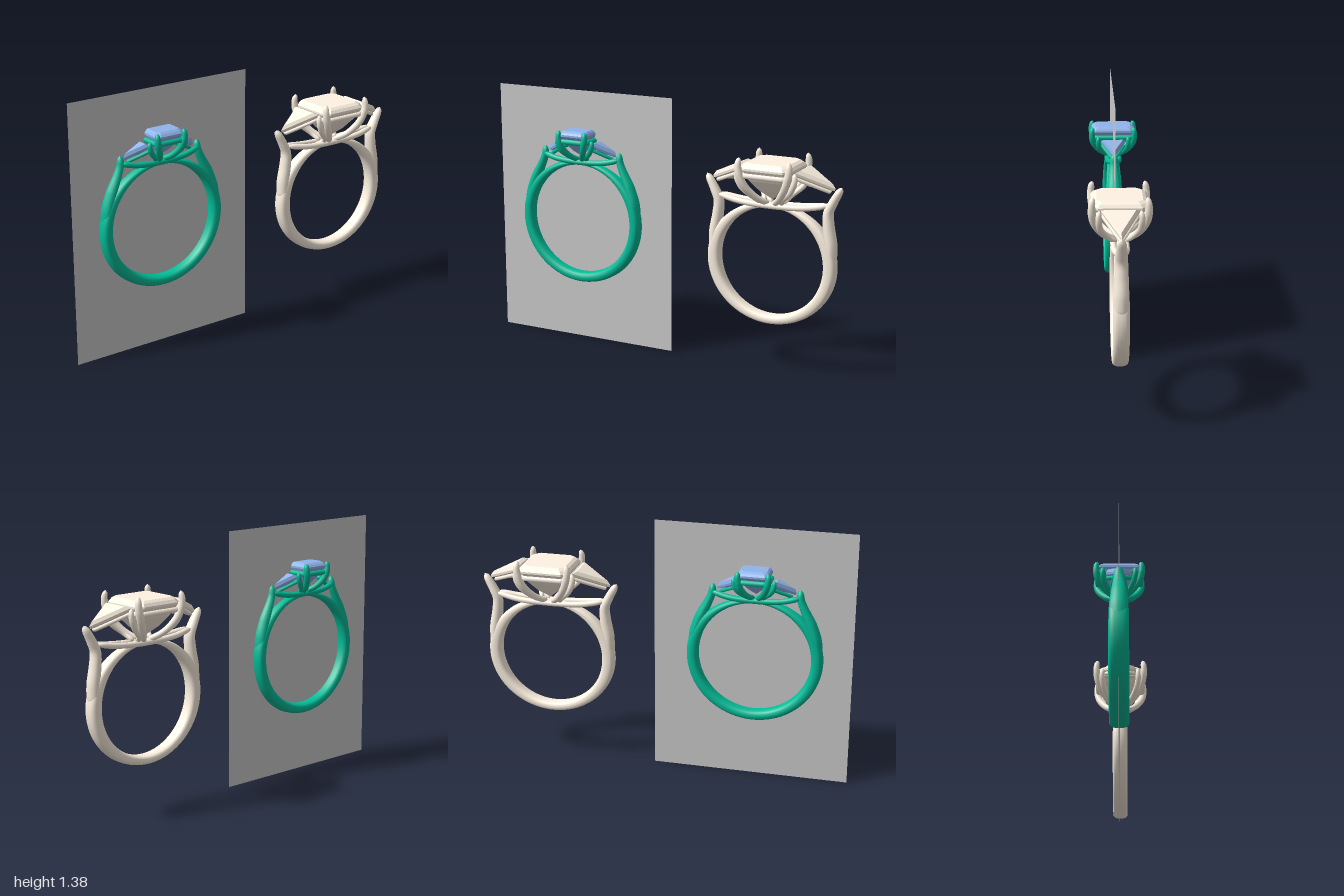
import * as THREE from 'three';

const V = (x, y, z) => new THREE.Vector3(x, y, z);
const lerp = THREE.MathUtils.lerp;

// Skins a list of equal-length cross-section loops.
function skin(loops, closed = false) {
  const n = loops.length, m = loops[0].length, index = [];
  for (let i = 0; i < (closed ? n : n - 1); i++) {
    for (let j = 0; j < m; j++) {
      const k = (j + 1) % m, i2 = (i + 1) % n;
      const a = i * m + j, b = i * m + k, c = i2 * m + j, d = i2 * m + k;
      index.push(a, b, c, b, d, c);
    }
  }
  const geo = new THREE.BufferGeometry().setFromPoints(loops.flat());
  geo.setIndex(index);
  geo.computeVertexNormals();
  return geo;
}

// Oval cross-section at p: a across the path, b towards z; power < 1 squares it off.
function section(p, tangent, a, b, power = 1, sides = 14) {
  const s = V(0, 0, 1).addScaledVector(tangent, -tangent.z).normalize();
  const n = s.clone().cross(tangent);
  const sq = (v) => Math.sign(v) * Math.abs(v) ** power;
  return Array.from({ length: sides }, (_, j) => {
    const t = (j / sides) * Math.PI * 2;
    return p.clone().addScaledVector(n, a * sq(Math.cos(t))).addScaledVector(s, b * sq(Math.sin(t)));
  });
}

// Rod along a smooth path, with radii [across, z] blended between stations and round ends.
function rod(points, radii) {
  const curve = new THREE.CatmullRomCurve3(points), steps = 36, loops = [];
  for (let i = 0; i <= steps; i++) {
    const t = i / steps, f = t * (radii.length - 1), k = Math.min(Math.floor(f), radii.length - 2);
    const end = Math.max(0, 1 - Math.min(t, 1 - t) / 0.1);
    const cap = Math.max(0.02, Math.sqrt(1 - end * end));
    const r = [0, 1].map((c) => cap * lerp(radii[k][c], radii[k + 1][c], f - k));
    loops.push(section(curve.getPointAt(t), curve.getTangentAt(t), r[0], r[1]));
  }
  return skin(loops);
}

// Closed round wire following an outline at one height.
function wire(outline, scale, y, r) {
  const points = outline.map(([x, z]) => V(x * scale, y, z * scale));
  return new THREE.TubeGeometry(new THREE.CatmullRomCurve3(points, true, 'catmullrom', 0.08), 64, r, 8, true);
}

// Faceted stone: outline scaled at each [scale, height] level, bottom to top.
function gem(outline, levels) {
  return skin(levels.map(([s, y]) => outline.map(([x, z]) => V(x * s, y, z * s)))).toNonIndexed();
}

// Finger band, thickness varying from bottom to side to top.
function band({ inner, thick: [bottom, side, top], halfWidth }) {
  const loops = [], steps = 96;
  for (let i = 0; i < steps; i++) {
    const a = (i / steps) * Math.PI * 2, s = Math.sin(a), q = s * s;
    const th = lerp(side, s < 0 ? bottom : top, q);
    const r = inner + th / 2;
    const w = halfWidth * (s > 0 ? lerp(1, 0.65, q) : 1);
    loops.push(section(V(r * Math.cos(a), r * s, 0), V(-s, Math.cos(a), 0), th / 2, w, 0.75, 20));
  }
  return skin(loops, true);
}

// Curved claw rising from the middle of the head to its tip.
function prong([x, y, z], base, r, spread = 0.1) {
  const path = [[spread, 0, 0.12], [0.5, 0.18, 0.6], [0.87, 0.48, 0.95], [1.03, 0.8, 1.03], [1, 1, 0.98]];
  return rod(path.map(([u, v, w]) => V(x * u, lerp(base, y, v), z * w)),
    [[r * 0.8, r * 0.8], [r * 0.9, r * 0.9], [r, r], [r * 1.05, r * 1.05], [r * 0.75, r * 0.75]]);
}

function ring(name, o) {
  const g = new THREE.Group();
  g.name = name;
  const metal = new THREE.MeshStandardMaterial({ color: o.metal });
  const stone = new THREE.MeshStandardMaterial({ color: o.stone, flatShading: true });
  const add = (parent, part, geo, mat = metal) => {
    const m = new THREE.Mesh(geo, mat);
    m.name = part;
    parent.add(m);
    return m;
  };
  add(g, 'band', band(o));

  // Step-cut centre stone resting on a basket rail
  const { w, d, top, girdle, culet } = o.centre, c = w * 0.24;
  const octagon = [[-w + c, d], [w - c, d], [w, d - c], [w, c - d], [w - c, -d], [c - w, -d], [-w, c - d], [-w, d - c]];
  const depth = girdle - culet;
  add(g, 'centreStone', gem(octagon, [[0, culet], [0.42, culet + depth * 0.3], [0.76, culet + depth * 0.65],
    [1, girdle], [1, girdle + 0.01], [0.92, lerp(girdle, top, 0.7)], [0.8, top], [0, top]]), stone);
  add(g, 'basketRail', wire(octagon, 0.93, o.basket, 0.014));

  // Claws at the four corners of the centre stone
  for (const sx of [-1, 1]) for (const sz of [-1, 1]) {
    const [x, y, z] = o.claw;
    add(g, 'centreClaw', prong([x * sx, y, z * sz], o.base, o.clawRadius));
  }

  // Gallery rails, front and back
  for (const s of [-1, 1]) {
    const [x, y, z] = o.rail;
    add(g, 'galleryRail', rod([V(-x, y, z * s * 0.4), V(-x * 0.6, o.base, z * s), V(0, o.base - 0.008, z * s * 1.1),
      V(x * 0.6, o.base, z * s), V(x, y, z * s * 0.4)], [[0.015, 0.015], [0.015, 0.015]]));
  }

  // Shoulder, side stone and its setting, repeated on both sides
  for (const turn of [0, Math.PI]) {
    const half = new THREE.Group();
    half.name = 'sideSetting';
    half.rotation.y = turn;
    g.add(half);
    add(half, 'shoulder', rod(o.shoulder.map(([x, y]) => V(x, y, 0)), o.shoulderRadii));

    const { x, y, length: L, b, tilt } = o.side;
    const seat = new THREE.Group();
    seat.name = 'sideStoneSeat';
    seat.position.set(x, y, 0);
    seat.rotation.z = -tilt;
    half.add(seat);
    const tri = [[-L / 3, b], [2 * L / 3, 0], [-L / 3, -b]];
    const jewel = add(seat, 'sideStone', gem(tri, [[0, -b * 0.85], [0.6, -b * 0.55], [1, -0.028], [1, -0.016],
      [0.8, 0], [0, 0]]), stone);
    const rail = add(seat, 'sideStoneRail', wire(tri, 0.88, -0.045, 0.01));
    jewel.position.x = rail.position.x = L / 3;
    for (const sz of [-1, 1]) {
      const [px, py, pz] = o.sideClaw;
      add(half, 'sideClaw', prong([px, py, pz * sz], o.base, o.clawRadius * 0.8, 0.35));
    }
  }
  g.position.set(o.at[0], o.at[1], 0);
  return g;
}

export function createModel() {
  const model = new THREE.Group();
  model.name = 'ringPair';

  // Flat upright board through the smaller ring
  const board = new THREE.Mesh(new THREE.PlaneGeometry(1.05, 1.38),
    new THREE.MeshStandardMaterial({ color: 0xcccccc, side: THREE.DoubleSide }));
  board.name = 'backingBoard';
  board.position.set(-0.475, 0.69, 0);
  model.add(board);

  model.add(ring('greenRing', {
    at: [-0.488, 0.678], metal: 0x00bd99, stone: 0x90b4ec,
    inner: 0.298, thick: [0.057, 0.062, 0.025], halfWidth: 0.05, base: 0.325,
    centre: { w: 0.082, d: 0.117, top: 0.495, girdle: 0.466, culet: 0.345 }, basket: 0.438,
    claw: [0.077, 0.497, 0.112], clawRadius: 0.017, rail: [0.235, 0.345, 0.028],
    shoulder: [[0.328, 0.02], [0.317, 0.12], [0.29, 0.2], [0.25, 0.285], [0.231, 0.335], [0.228, 0.385]],
    shoulderRadii: [[0.028, 0.047], [0.03, 0.046], [0.029, 0.04], [0.022, 0.03], [0.018, 0.02]],
    side: { x: 0.105, y: 0.44, length: 0.125, b: 0.066, tilt: 0.49 },
    sideClaw: [0.102, 0.45, 0.08],
  }));

  model.add(ring('creamRing', {
    at: [0.622, 0.585], metal: 0xfff3e3, stone: 0xfff3e3,
    inner: 0.284, thick: [0.049, 0.069, 0.025], halfWidth: 0.04, base: 0.305,
    centre: { w: 0.138, d: 0.138, top: 0.526, girdle: 0.49, culet: 0.325 }, basket: 0.462,
    claw: [0.133, 0.555, 0.131], clawRadius: 0.019, rail: [0.3, 0.325, 0.028],
    shoulder: [[0.32, 0.02], [0.317, 0.13], [0.303, 0.22], [0.3, 0.29], [0.323, 0.345], [0.367, 0.425]],
    shoulderRadii: [[0.03, 0.038], [0.032, 0.037], [0.029, 0.034], [0.024, 0.03], [0.018, 0.02]],
    side: { x: 0.162, y: 0.51, length: 0.195, b: 0.092, tilt: 0.42 },
    sideClaw: [0.152, 0.495, 0.1],
  }));
  return model;
}
